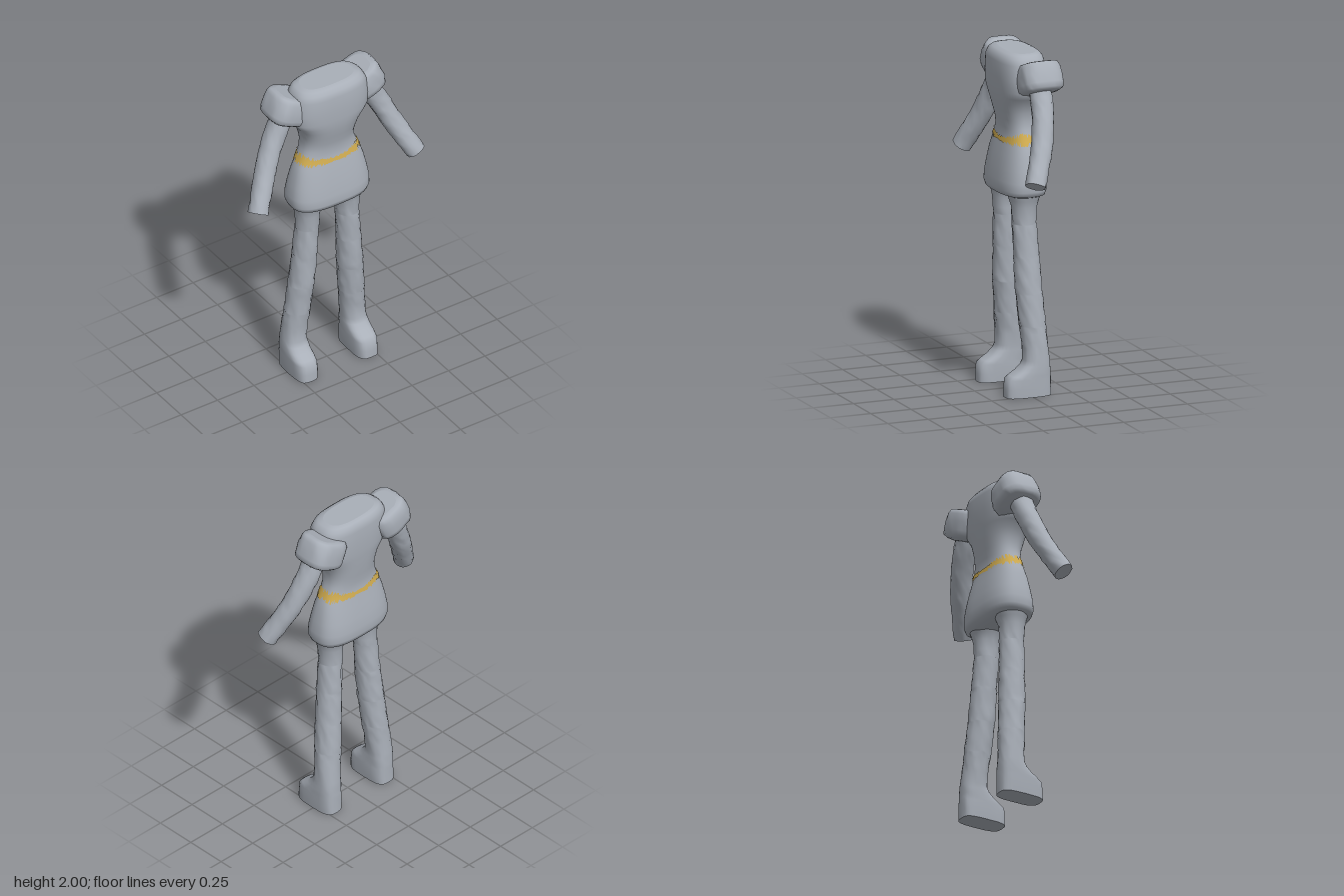
import * as THREE from 'three';

const V = (x, y, z) => new THREE.Vector3(x, y, z);
const hash = (a, b) => { const s = Math.sin(a * 127.1 + b * 311.7) * 43758.5453; return s - Math.floor(s); };

// Point on a rounded-box outline; n = 2 is an ellipse, larger is squarer
function outline(t, hu, hv, n) {
  const p = (c) => Math.sign(c) * Math.pow(Math.abs(c), 2 / n);
  return [hu * p(Math.cos(t)), hv * p(Math.sin(t))];
}

// Ring of points around centre c, facing the travel direction d
function ring(c, d, u, hu, hv, n, segs, bump = 0, seed = 0) {
  const v = d.clone().cross(u).normalize();
  return Array.from({ length: segs }, (_, j) => {
    const k = 1 + bump * (hash(j, seed) - 0.5);
    const [a, b] = outline((j / segs) * Math.PI * 2, hu * k, hv * k, n);
    return c.clone().addScaledVector(u, a).addScaledVector(v, b);
  });
}

// Skin a list of rings, optionally closing both ends with flat caps
function loft(rings, caps = true) {
  const pos = [], index = [], m = rings[0].length;
  rings.forEach((r) => r.forEach((p) => pos.push(p.x, p.y, p.z)));
  for (let i = 0; i < rings.length - 1; i++) {
    for (let j = 0; j < m; j++) {
      const a = i * m + j, b = i * m + ((j + 1) % m);
      index.push(a, b, a + m, b, b + m, a + m);
    }
  }
  const cap = (r, flip) => {
    const start = pos.length / 3, mid = V(0, 0, 0);
    r.forEach((p) => { pos.push(p.x, p.y, p.z); mid.addScaledVector(p, 1 / m); });
    pos.push(mid.x, mid.y, mid.z);
    for (let j = 0; j < m; j++) {
      const a = start + j, b = start + ((j + 1) % m);
      index.push(start + m, flip ? b : a, flip ? a : b);
    }
  };
  if (caps) { cap(rings[0], true); cap(rings[rings.length - 1], false); }
  const g = new THREE.BufferGeometry();
  g.setAttribute('position', new THREE.Float32BufferAttribute(pos, 3));
  g.setIndex(index);
  g.computeVertexNormals();
  return g;
}

// Linear lookup in rows whose first entry falls from row to row
function sample(rows, y) {
  let i = 0;
  while (i < rows.length - 2 && y < rows[i + 1][0]) i++;
  const a = rows[i], b = rows[i + 1];
  const t = THREE.MathUtils.clamp((a[0] - y) / (a[0] - b[0]), 0, 1);
  return a.map((q, k) => q + (b[k] - q) * t);
}

// Torso: y, half width, front z, back z, squareness
const TORSO = [
  [2.0, 0.17, 0.075, -0.09, 2.8], [1.993, 0.2, 0.1, -0.11, 2.8], [1.975, 0.222, 0.12, -0.125, 2.8],
  [1.94, 0.24, 0.132, -0.133, 2.8], [1.85, 0.25, 0.134, -0.133, 2.8], [1.78, 0.25, 0.132, -0.13, 2.7],
  [1.74, 0.222, 0.128, -0.126, 2.7], [1.7, 0.192, 0.122, -0.122, 2.6], [1.65, 0.174, 0.11, -0.116, 2.6],
  [1.6, 0.166, 0.097, -0.109, 2.5], [1.55, 0.172, 0.088, -0.102, 2.5], [1.5, 0.19, 0.09, -0.1, 2.5],
  [1.45, 0.212, 0.1, -0.108, 2.5], [1.4, 0.228, 0.112, -0.118, 2.6], [1.32, 0.246, 0.126, -0.132, 2.7],
  [1.25, 0.258, 0.136, -0.14, 2.8], [1.2, 0.258, 0.14, -0.14, 2.8], [1.172, 0.246, 0.132, -0.132, 2.8],
  [1.158, 0.215, 0.1, -0.1, 2.6], [1.15, 0.19, 0.08, -0.08, 2.4],
];

// Leg and foot: y, inner x, outer x, front z, back z, squareness
const LEG = [
  [1.18, 0.03, 0.235, 0.1, -0.1, 2], [1.14, 0.045, 0.222, 0.088, -0.085, 2], [1.1, 0.064, 0.21, 0.078, -0.073, 2],
  [1.0, 0.068, 0.206, 0.071, -0.07, 2], [0.8, 0.078, 0.224, 0.069, -0.08, 2], [0.6, 0.09, 0.243, 0.064, -0.094, 2],
  [0.4, 0.11, 0.262, 0.046, -0.108, 2], [0.28, 0.124, 0.272, 0.034, -0.116, 2.1], [0.21, 0.132, 0.276, 0.034, -0.121, 2.3],
  [0.18, 0.132, 0.277, 0.048, -0.122, 2.6], [0.15, 0.132, 0.278, 0.078, -0.123, 2.9], [0.125, 0.132, 0.278, 0.12, -0.124, 3],
  [0.105, 0.132, 0.278, 0.144, -0.125, 3.2], [0.05, 0.133, 0.277, 0.15, -0.125, 3.4], [0, 0.136, 0.274, 0.152, -0.126, 3.4],
];

const DOWN = V(0, -1, 0), X = V(1, 0, 0);

function torsoGeometry() {
  return loft(TORSO.map(([y, w, f, b, n]) => ring(V(0, y, (f + b) / 2), DOWN, X, w, (f - b) / 2, n, 48)));
}

// Ragged painted band hugging the waist
function beltGeometry() {
  const segs = 144, rows = [0, 0.33, 0.67, 1];
  return loft(rows.map((r) => Array.from({ length: segs }, (_, j) => {
    const t = (j / segs) * Math.PI * 2, side = Math.abs(Math.cos(t));
    const mid = 1.477 + 0.018 * side;
    const top = mid + 0.008 + (0.01 + 0.025 * side) * hash(j, 1);
    const bottom = mid - 0.008 - (0.01 + 0.025 * side) * hash(j, 2);
    const y = top + (bottom - top) * r;
    const [, w, f, b, n] = sample(TORSO, y);
    const [x, z] = outline(t, w + 0.004, (f - b) / 2 + 0.004, n);
    // d x u turns +x toward +z when travelling down
    return V(x, y, (f + b) / 2 + z);
  })), false);
}

function legGeometry(s) {
  const ys = LEG.map((r) => r[0]);
  for (let y = 0.32; y < 1.08; y += 0.045) ys.push(y);
  ys.sort((a, b) => b - a);
  return loft(ys.map((y, i) => {
    const [, a, b, f, k, n] = sample(LEG, y);
    const bump = y > 0.22 && y < 1.1 ? 0.1 : 0.02;
    return ring(V(s * (a + b) / 2, y, (f + k) / 2), DOWN, X, (b - a) / 2, (f - k) / 2, n, 24, bump, i + s);
  }));
}

function armGeometry(s) {
  const path = new THREE.CatmullRomCurve3([
    V(s * 0.275, 1.86, -0.035), V(s * 0.31, 1.775, -0.03), V(s * 0.375, 1.65, -0.015),
    V(s * 0.445, 1.5, 0.025), V(s * 0.495, 1.4, 0.065), V(s * 0.54, 1.312, 0.102),
  ]);
  const rings = [], count = 18;
  for (let i = 0; i <= count; i++) {
    const t = i / count, d = path.getTangentAt(t);
    const u = d.clone().cross(V(0, 0, 1)).normalize();
    const r = 0.066 - 0.008 * t;
    rings.push(ring(path.getPointAt(t), d, u, r, r, 2.1, 20, 0.1, i + s * 3));
  }
  return loft(rings);
}

// Boxy puffed sleeve tilted along the arm
function sleeveGeometry(s) {
  const d = V(s * 0.39, -0.92, 0).normalize(), u = V(s * 0.92, 0.39, 0).normalize();
  // distance along the arm, half width, half depth
  const rows = [[-0.006, 0.085, 0.08], [0, 0.112, 0.105], [0.025, 0.122, 0.118], [0.07, 0.126, 0.124],
    [0.12, 0.126, 0.126], [0.15, 0.12, 0.12], [0.163, 0.1, 0.1], [0.172, 0.06, 0.06]];
  return loft(rows.map(([l, a, b], i) =>
    ring(V(s * 0.22, 1.945, -0.043).addScaledVector(d, l), d, u, a, b, 3, 32, 0.05, i + s)));
}

export function createModel() {
  const grey = new THREE.MeshStandardMaterial({ color: 0xa9afb8 });
  grey.name = 'grey';
  const gold = new THREE.MeshStandardMaterial({ color: 0xd0ac50 });
  gold.name = 'gold';

  const model = new THREE.Group();
  model.name = 'outfit';
  const add = (name, geometry, material = grey) => {
    const mesh = new THREE.Mesh(geometry, material);
    mesh.name = name;
    model.add(mesh);
  };

  add('torso', torsoGeometry());
  add('belt', beltGeometry(), gold);
  for (const [side, s] of [['left', 1], ['right', -1]]) {
    add(side + 'Sleeve', sleeveGeometry(s));
    add(side + 'Arm', armGeometry(s));
    add(side + 'Leg', legGeometry(s));
  }
  return model;
}
